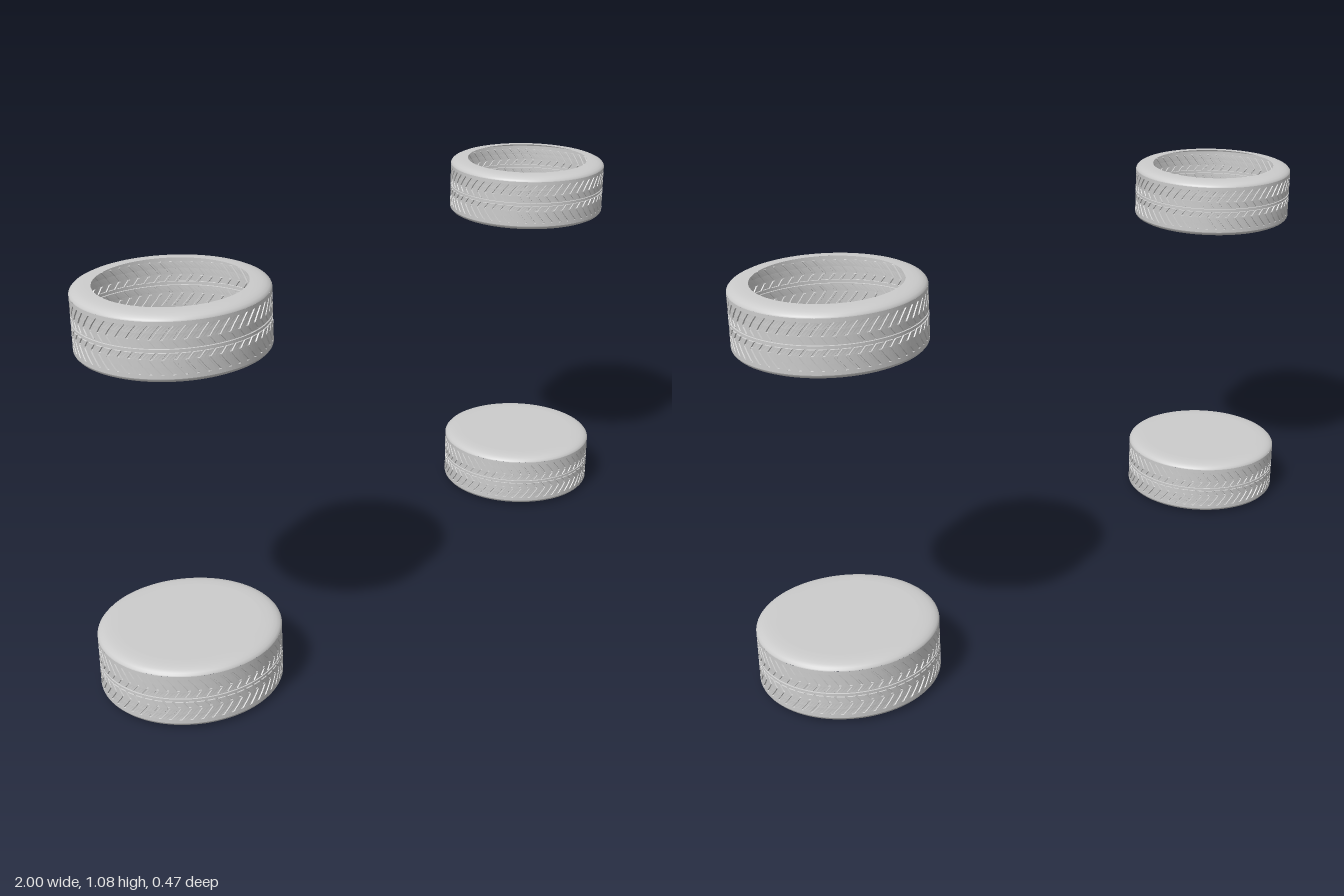
import * as THREE from 'three';

const R = 0.235, RIM = 0.183, H = 0.167, WHEEL_X = 0.765;
const TREAD_LOW = 0.016, TREAD_HIGH = 0.151;
const PITCHES = 56, DEPTH = 0.003;

// Tread band: sheared columns follow the zigzag grooves, rows carry the ring grooves
function treadGeometry() {
  // fraction of one pitch, and whether that column lies in a groove
  const cols = [[0, 0], [0.36, 0], [0.72, 0], [0.76, 1], [0.95, 1]];
  // height fraction, zigzag shift in pitches, row kind: 0 ring groove, 1 blocks, 2 smooth rib
  const rows = [
    [0, 0, 2], [0.07, 0, 2], [0.075, 0, 1], [0.2, 0.55, 1], [0.31, 0.95, 1],
    [0.315, 0.95, 2], [0.335, 0.9, 2], [0.34, 0.9, 1], [0.45, 0.45, 1],
    [0.455, 0.45, 0], [0.475, 0.45, 0], [0.48, 0.45, 2],
    [0.52, 0.45, 2], [0.525, 0.45, 0], [0.545, 0.45, 0],
    [0.55, 0.45, 1], [0.66, 0.9, 1], [0.665, 0.9, 2], [0.685, 0.95, 2],
    [0.69, 0.95, 1], [0.8, 0.55, 1], [0.925, 0, 1], [0.93, 0, 2], [1, 0, 2],
  ];
  const n = PITCHES * cols.length, pos = [], idx = [];
  for (const [v, shift, kind] of rows) {
    for (let j = 0; j < n; j++) {
      const [f, groove] = cols[j % cols.length];
      const a = (Math.floor(j / cols.length) + f + shift) / PITCHES * Math.PI * 2;
      const r = R - (kind === 0 || (kind === 1 && groove) ? DEPTH : 0);
      pos.push(r * Math.sin(a), TREAD_LOW + v * (TREAD_HIGH - TREAD_LOW), r * Math.cos(a));
    }
  }
  for (let i = 0; i < rows.length - 1; i++) {
    for (let j = 0; j < n; j++) {
      const k = (j + 1) % n, a = i * n + j, b = i * n + k, c = a + n, d = b + n;
      idx.push(a, b, d, a, d, c);
    }
  }
  const g = new THREE.BufferGeometry();
  g.setAttribute('position', new THREE.Float32BufferAttribute(pos, 3));
  g.setIndex(idx);
  const flat = g.toNonIndexed();
  flat.computeVertexNormals();
  return flat;
}

// Rounded shoulder and sidewall, from the rim edge out to the tread
function sidewallGeometry(upper) {
  const half = [[RIM, 0], [0.198, 0.0005], [0.212, 0.002], [0.222, 0.0045],
    [0.23, 0.0085], [0.234, 0.013], [R, TREAD_LOW]];
  const pts = half.map(([r, y]) => new THREE.Vector2(r, upper ? H - y : y));
  if (upper) pts.reverse();
  return new THREE.LatheGeometry(pts, 96);
}

export function createModel() {
  const model = new THREE.Group();
  model.name = 'wheelSet';
  const rubber = new THREE.MeshStandardMaterial({ color: 0xcccccc, side: THREE.DoubleSide });

  const parts = {
    tread: treadGeometry(),
    openSidewall: sidewallGeometry(false),
    closedSidewall: sidewallGeometry(true),
    coverDisc: new THREE.CircleGeometry(RIM, 96).rotateX(-Math.PI / 2).translate(0, H, 0),
  };

  // Closed faces look towards each other: lower pair up, upper pair down
  for (const [level, y, flip] of [['lower', 0, false], ['upper', 1.08, true]]) {
    for (const [side, x] of [['Left', WHEEL_X], ['Right', -WHEEL_X]]) {
      const wheel = new THREE.Group();
      wheel.name = `${level}${side}Wheel`;
      for (const [name, geometry] of Object.entries(parts)) {
        const mesh = new THREE.Mesh(geometry, rubber);
        mesh.name = name;
        wheel.add(mesh);
      }
      wheel.position.set(x, y, 0);
      if (flip) wheel.rotation.x = Math.PI;
      model.add(wheel);
    }
  }
  return model;
}
